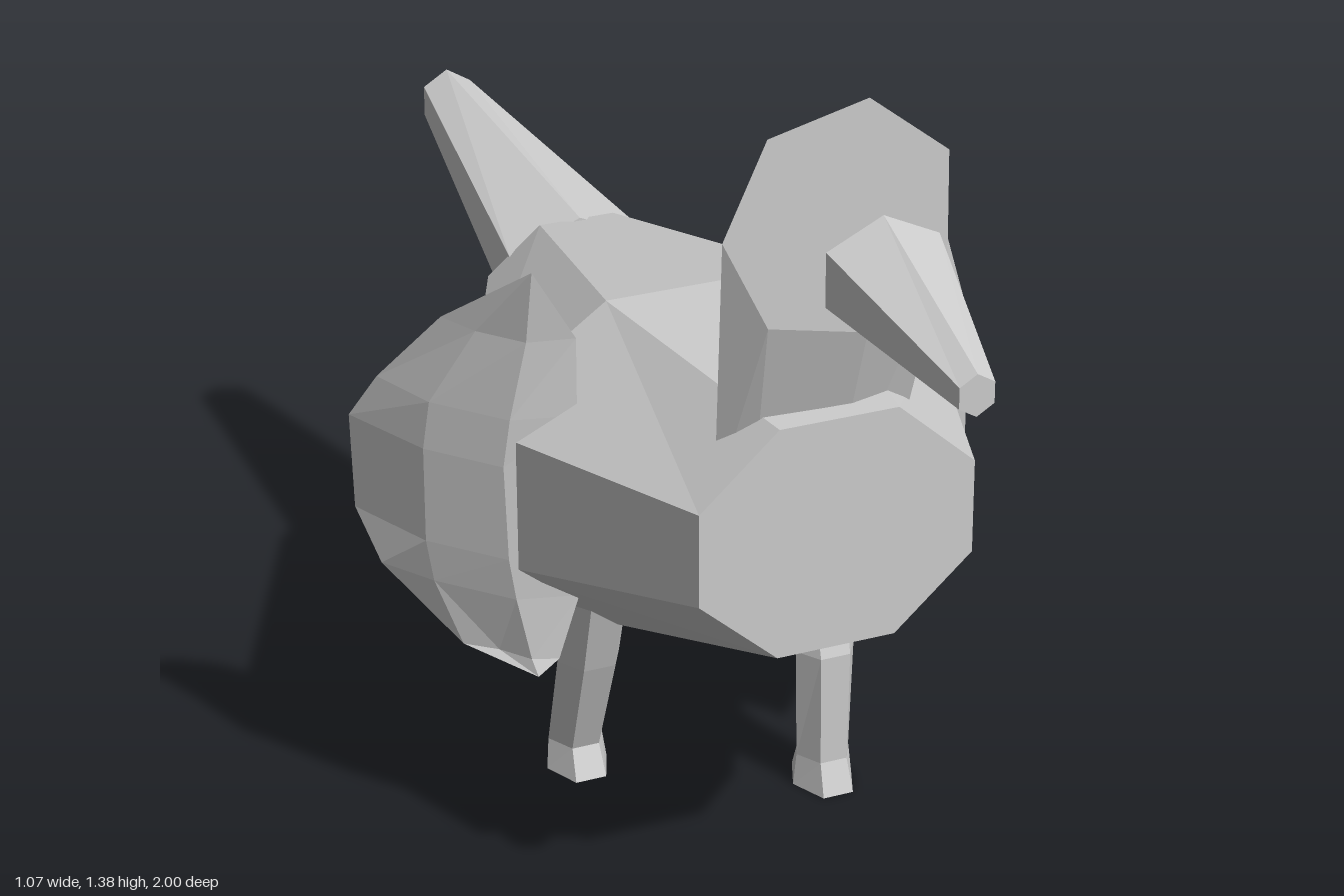
import * as THREE from 'three';

const grey = new THREE.MeshStandardMaterial({ color: 0xcccccc, flatShading: true });
grey.name = 'plain grey';

// Skin a list of equal-length rings into a closed faceted solid
function loft(name, rings) {
  const pos = [];
  const tri = (a, b, c) => {
    const n = new THREE.Vector3().subVectors(b, a).cross(new THREE.Vector3().subVectors(c, a));
    if (n.length() > 1e-7) for (const p of [a, b, c]) pos.push(p.x, p.y, p.z);
  };
  const n = rings[0].length;
  for (let i = 0; i < rings.length - 1; i++) {
    for (let j = 0; j < n; j++) {
      const k = (j + 1) % n;
      tri(rings[i][j], rings[i][k], rings[i + 1][k]);
      tri(rings[i][j], rings[i + 1][k], rings[i + 1][j]);
    }
  }
  const first = rings[0], last = rings[rings.length - 1];
  for (let j = 1; j < n - 1; j++) {
    tri(first[0], first[j + 1], first[j]);
    tri(last[0], last[j], last[j + 1]);
  }
  const geo = new THREE.BufferGeometry();
  geo.setAttribute('position', new THREE.Float32BufferAttribute(pos, 3));
  geo.computeVertexNormals();
  const mesh = new THREE.Mesh(geo, grey);
  mesh.name = name;
  return mesh;
}

// Regular polygon facing z
function upright(n, cx, cy, z, rx, ry, startDeg) {
  return Array.from({ length: n }, (_, i) => {
    const a = THREE.MathUtils.degToRad(startDeg) + (i / n) * Math.PI * 2;
    return new THREE.Vector3(cx + rx * Math.cos(a), cy + ry * Math.sin(a), z);
  });
}

// Regular hexagon facing up
function level(cx, y, cz, rx, rz) {
  return Array.from({ length: 6 }, (_, i) => {
    const a = (i / 6) * Math.PI * 2;
    return new THREE.Vector3(cx + rx * Math.cos(a), y, cz - rz * Math.sin(a));
  });
}

// Octagonal body section: outer and inner half widths, four heights
function bodyRing(z, wide, narrow, [bottom, low, high, top]) {
  return [
    [wide, low], [wide, high], [narrow, top], [-narrow, top],
    [-wide, high], [-wide, low], [-narrow, bottom], [narrow, bottom],
  ].map(([x, y]) => new THREE.Vector3(x, y, z));
}

// Wing section rows, bottom to top: height, then x,z of
// front edge, outer ridge, outer face, rear edge, inner face
const wingRows = [
  [0.34, [0.32, 0.185], [0.32, 0.185], [0.32, 0.185], [0.32, 0.185], [0.32, 0.185]],
  [0.365, [0.305, 0.185], [0.345, 0.17], [0.38, 0.12], [0.425, 0.08], [0.35, 0.12]],
  [0.47, [0.27, 0.185], [0.365, 0.16], [0.46, 0.05], [0.515, -0.04], [0.39, 0.06]],
  [0.54, [0.27, 0.185], [0.375, 0.157], [0.47, 0.045], [0.532, -0.11], [0.395, 0.06]],
  [0.7, [0.27, 0.185], [0.38, 0.155], [0.47, 0.045], [0.535, -0.115], [0.395, 0.06]],
  [0.78, [0.27, 0.185], [0.37, 0.16], [0.46, 0.05], [0.502, -0.07], [0.39, 0.06]],
  [0.91, [0.27, 0.185], [0.345, 0.17], [0.4, 0.1], [0.43, 0.03], [0.36, 0.08]],
  [1.03, [0.32, 0.185], [0.32, 0.185], [0.32, 0.185], [0.32, 0.185], [0.32, 0.185]],
];

function wing(name, side) {
  return loft(name, wingRows.map(([y, ...pts]) => {
    const ring = pts.map(([x, z]) => {
      // the two wing tips lean slightly differently
      const lean = y < 0.35 || y > 1 ? -0.02 * side : 0;
      return new THREE.Vector3(side * (x + lean), y, z);
    });
    return side < 0 ? ring.reverse() : ring;
  }));
}

export function createModel() {
  const bird = new THREE.Group();
  bird.name = 'bird';

  // Body
  bird.add(loft('body', [
    bodyRing(-0.48, 0.16, 0.066, [0.55, 0.615, 0.721, 0.797]),
    bodyRing(0.05, 0.4, 0.165, [0.33, 0.495, 0.733, 0.897]),
    bodyRing(0.545, 0.225, 0.097, [0.504, 0.617, 0.77, 0.884]),
  ]));

  // Tail, drifting slightly to one side
  bird.add(loft('tail', [
    upright(6, -0.035, 0.832, -1, 0.05, 0.053, 90),
    upright(6, 0, 0.7, -0.465, 0.145, 0.105, 90),
  ]));

  // Head and neck as one slanted slab
  bird.add(loft('headAndNeck', [
    upright(7, 0, 0.725, 0.43, 0.15, 0.085, -25),
    upright(7, -0.004, 1.2, 0.55, 0.188, 0.188, -25),
  ]));

  // Beak, standing clear of the head
  bird.add(loft('beak', [
    upright(6, -0.003, 1.177, 0.68, 0.102, 0.084, 90),
    upright(6, -0.016, 1.125, 1, 0.031, 0.032, 90),
  ]));

  // Wings
  bird.add(wing('leftWing', 1), wing('rightWing', -1));

  // Legs mid-stride
  bird.add(loft('leftLeg', [
    level(0.182, 0, 0.125, 0.053, 0.072),
    level(0.182, 0.055, 0.124, 0.047, 0.05),
    level(0.182, 0.25, 0.127, 0.052, 0.048),
    level(0.188, 0.45, 0.05, 0.056, 0.06),
  ]));
  bird.add(loft('rightLeg', [
    level(-0.18, 0.015, -0.06, 0.053, 0.072),
    level(-0.18, 0.067, -0.068, 0.047, 0.055),
    level(-0.183, 0.25, 0.003, 0.054, 0.055),
    level(-0.185, 0.45, 0.06, 0.058, 0.06),
  ]));

  return bird;
}
